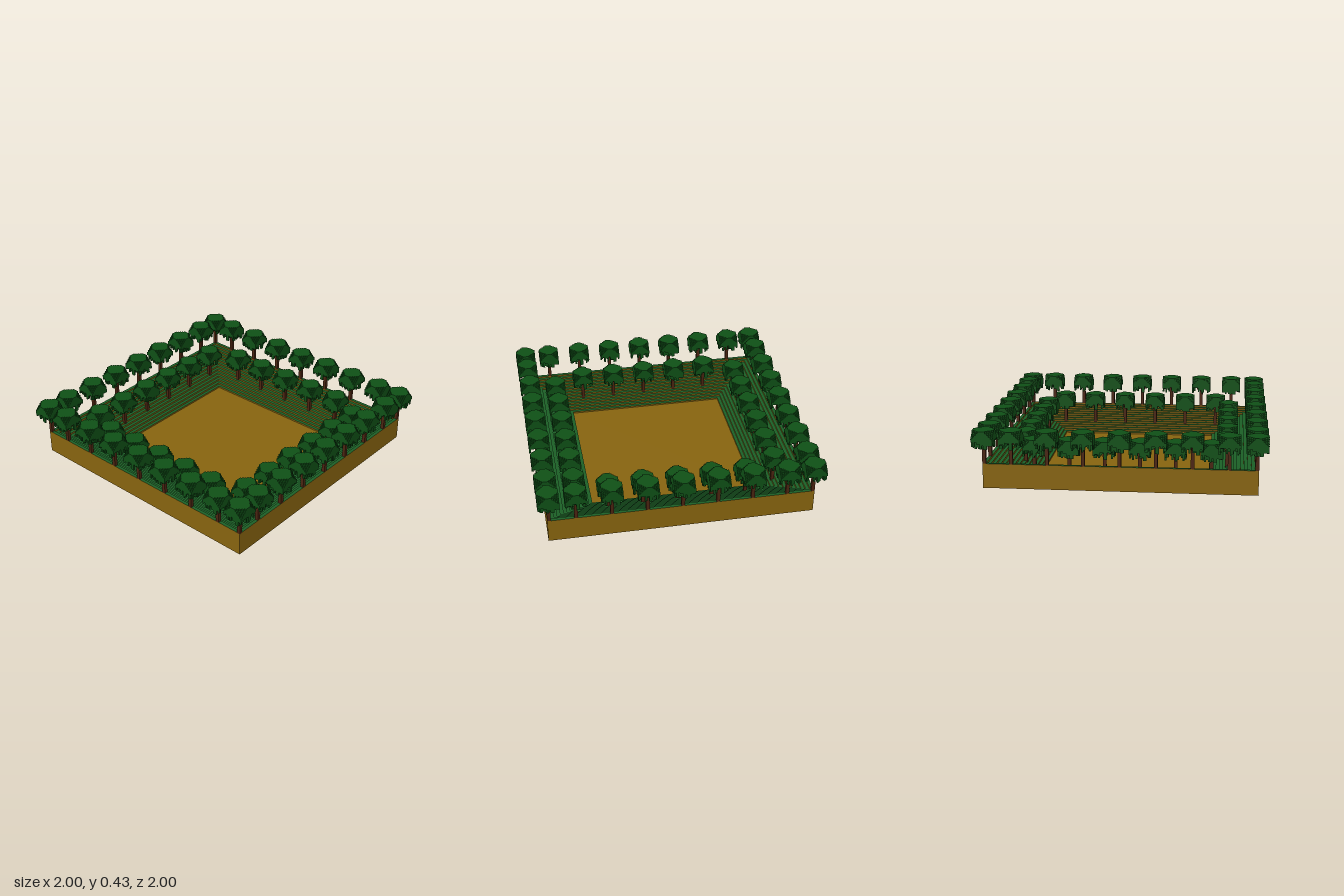
import * as THREE from 'three';
import { mergeGeometries } from 'three/addons/utils/BufferGeometryUtils.js';

const U = 1 / 81; // one block
const mat = (color, side = THREE.FrontSide) =>
  new THREE.MeshStandardMaterial({ color, flatShading: true, side });

// Square ring swept from a profile of [half width, height] points
function squareSweep(profile) {
  const pts = profile.map(([r, y]) => new THREE.Vector2(r * Math.SQRT2, y));
  const g = new THREE.LatheGeometry(pts, 4, Math.PI / 4).toNonIndexed();
  g.computeVertexNormals();
  return g;
}

// Crown occupancy on a 12 x 10 x 12 block lattice
const W = 12, H = 10;
function hash(i, k) {
  const s = Math.sin(i * 12.9898 + k * 78.233 + 3.1) * 43758.5453;
  return s - Math.floor(s);
}
function filled(i, j, k) {
  if (i < 0 || j < 0 || k < 0 || i >= W || j >= H || k >= W) return false;
  const ex = Math.min(i, W - 1 - i), ez = Math.min(k, W - 1 - k), ey = H - 1 - j;
  if (ex + ey + ez < 4) return false; // clipped top corners
  // ragged hanging rim around a hollow underside
  const rim = Math.min(ex, ez) < 2;
  const hang = rim ? Math.floor(hash(i, k) * 5) : 4 + Math.floor(hash(i, k) * 2);
  return j >= hang;
}

// Exposed block faces, with vertical runs joined into one face
function crownGeometry() {
  const faces = [];
  const sides = [[0, 1, 0], [1, 0, Math.PI / 2], [0, -1, Math.PI], [-1, 0, -Math.PI / 2]];
  for (let i = 0; i < W; i++) for (let k = 0; k < W; k++) {
    const x = i - W / 2 + 0.5, z = k - W / 2 + 0.5;
    for (const [dx, dz, turn] of sides) {
      let start = -1;
      for (let j = 0; j <= H; j++) {
        const open = filled(i, j, k) && !filled(i + dx, j, k + dz);
        if (open && start < 0) start = j;
        if (!open && start >= 0) {
          const angle = Math.atan2(dx, dz);
          faces.push(new THREE.PlaneGeometry(1, j - start).rotateY(angle)
            .translate(x + dx / 2, (start + j) / 2, z + dz / 2));
          start = -1;
        }
      }
    }
    for (let j = 0; j < H; j++) {
      if (!filled(i, j, k)) continue;
      if (!filled(i, j + 1, k))
        faces.push(new THREE.PlaneGeometry(1, 1).rotateX(-Math.PI / 2).translate(x, j + 1, z));
      if (!filled(i, j - 1, k))
        faces.push(new THREE.PlaneGeometry(1, 1).rotateX(Math.PI / 2).translate(x, j, z));
    }
  }
  return mergeGeometries(faces);
}

export function createModel() {
  const model = new THREE.Group();
  model.name = 'sunkenTreeTerrace';
  const world = new THREE.Group();
  world.name = 'terraceBlocks';
  world.scale.setScalar(U);
  model.add(world);

  const soil = mat(0x87640f), grass = mat(0x1b5f26);
  const bark = mat(0x4a2410), leaf = mat(0x0f5016);
  const add = (name, geometry, material, parent = world) => {
    const mesh = new THREE.Mesh(geometry, material);
    mesh.name = name;
    parent.add(mesh);
    return mesh;
  };

  // Earth block: underside with floor slab, and outer walls
  const top = 15.5, steps = 14, outer = 76, floor = 48, low = 1.5;
  add('earthBase', squareSweep([[0, 0], [floor, 0], [floor, low], [outer, low], [outer, top]]), soil);
  add('sunkenFloor', squareSweep([[floor, low], [0, low]]), soil);

  // Steps going down to the floor: grass treads and earth risers
  const treads = [], risers = [];
  for (let n = 0; n < steps; n++) {
    const r = outer - 2 * n, y = top - n;
    treads.push(squareSweep([[r, y], [r - 2, y]]));
    risers.push(squareSweep([[r - 2, y], [r - 2, y - 1]]));
  }
  add('grassTreads', mergeGeometries(treads), grass);
  add('earthRisers', mergeGeometries(risers), soil);

  // Trees share one trunk and one crown geometry
  const crown = crownGeometry();
  const trunk = mergeGeometries([
    new THREE.BoxGeometry(2, 15, 2).translate(0, 7.2, 0),
    new THREE.BoxGeometry(6, 1, 1).translate(0, 12.5, 0),
    new THREE.BoxGeometry(1, 1, 6).translate(0, 11.5, 0),
  ]);
  let count = 0;
  function plant(name, x, y, z) {
    const tree = new THREE.Group();
    tree.name = name;
    tree.position.set(x, y, z);
    tree.rotation.y = (count++ % 4) * Math.PI / 2;
    add('trunk', trunk, bark, tree);
    add('crown', crown, leaf, tree).position.y = 9.4;
    world.add(tree);
  }

  const outerRow = [-60, -40, -20, 0, 20, 40, 60];
  const innerRow = [-50, -30, -10, 10, 30, 50];
  const innerColumn = [-40, -20, 0, 20, 40];
  for (const s of [-1, 1]) {
    // rim trees
    for (const p of [-75, ...outerRow, 75]) plant('rimTree', p, top, s * 75);
    for (const p of outerRow) plant('rimTree', s * 75, top, p);
    // trees halfway down the steps
    for (const p of innerRow) plant('stepTree', p, 6.8, s * 58.5);
    for (const p of innerColumn) plant('stepTree', s * 58.5, 6.8, p);
  }
  return model;
}
